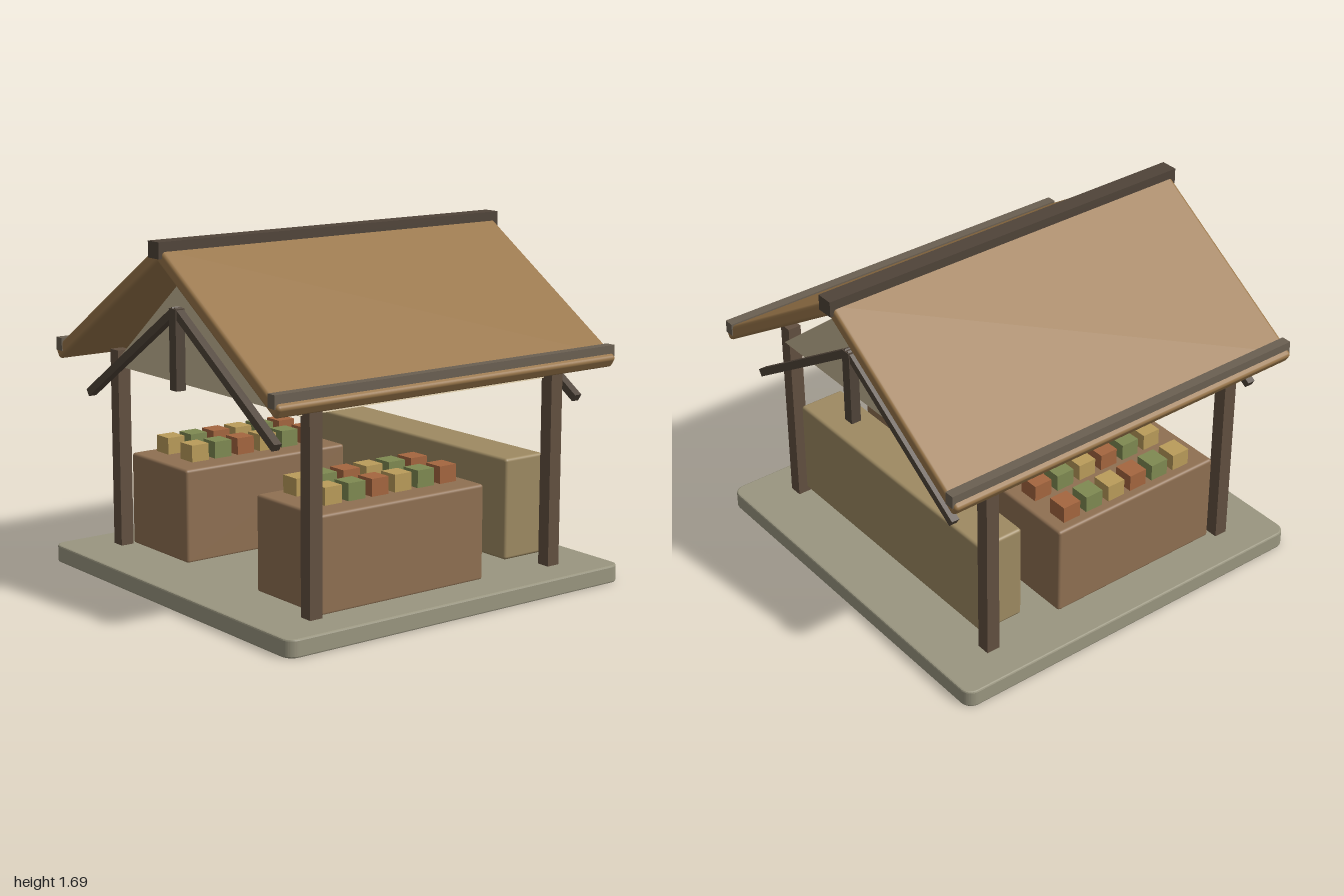
import * as THREE from 'three';
import { RoundedBoxGeometry } from 'three/addons/geometries/RoundedBoxGeometry.js';

const paint = (color) => new THREE.MeshStandardMaterial({ color });
const mats = {
  stone: paint(0x9a9680), post: paint(0x625040), beam: paint(0x504439), eave: paint(0x6b6052),
  roof: paint(0x99764a), canopy: paint(0xc4b494), counter: paint(0x8f7052), back: paint(0x9e8a62),
};
const crateMats = [paint(0xba9c5a), paint(0x7f8a52), paint(0xa5663f)];

export function createModel() {
  const model = new THREE.Group();

  const add = (name, geometry, material, x = 0, y = 0, z = 0, rz = 0) => {
    const mesh = new THREE.Mesh(geometry, material);
    mesh.name = name;
    mesh.position.set(x, y, z);
    mesh.rotation.z = rz;
    model.add(mesh);
    return mesh;
  };
  const box = (w, h, d) => new THREE.BoxGeometry(w, h, d);
  const rounded = (w, h, d, r) => new RoundedBoxGeometry(w, h, d, 3, r);

  // Floor slab: rounded square in plan with a fine bevel
  const half = 0.974, r = 0.05, bevel = 0.008;
  const plan = new THREE.Shape();
  plan.absarc(half - r, half - r, r, 0, Math.PI / 2);
  plan.absarc(-half + r, half - r, r, Math.PI / 2, Math.PI);
  plan.absarc(-half + r, -half + r, r, Math.PI, Math.PI * 1.5);
  plan.absarc(half - r, -half + r, r, Math.PI * 1.5, Math.PI * 2);
  plan.closePath();
  const slab = new THREE.ExtrudeGeometry(plan, {
    depth: 0.085 - 2 * bevel, bevelSize: bevel, bevelThickness: bevel, bevelSegments: 2, curveSegments: 6,
  });
  slab.rotateX(-Math.PI / 2);
  add('floorSlab', slab, mats.stone, 0, bevel, 0);

  // Corner posts
  for (const sx of [-1, 1]) for (const sz of [-1, 1]) {
    add('cornerPost', box(0.068, 1.05, 0.068), mats.post, sx * 0.773, 0.535, sz * 0.705);
  }

  // Side counters, each with two rows of goods crates
  for (const sx of [-1, 1]) {
    add('sideCounter', rounded(0.485, 0.46, 0.945, 0.015), mats.counter, sx * 0.5275, 0.308, 0.18);
    for (let row = 0; row < 2; row++) for (let i = 0; i < 6; i++) {
      const x = sx * 0.5275 - 0.143 + row * 0.21;
      add('goodsCrate', box(0.102, 0.085, 0.096), crateMats[i % 3], x, 0.578, 0.488 - i * 0.1335);
    }
  }

  // Raised back counter between the rear posts
  add('backCounter', rounded(1.44, 0.49, 0.235, 0.015), mats.back, 0, 0.375, -0.59);

  // Triangular loft prism under the roof
  const gable = new THREE.Shape();
  gable.moveTo(-0.755, 0.99);
  gable.lineTo(0.755, 0.99);
  gable.lineTo(0, 1.592);
  gable.closePath();
  const loft = new THREE.ExtrudeGeometry(gable, { depth: 1.51, bevelEnabled: false });
  add('gableLoft', loft, mats.canopy, 0, 0, -0.755);

  // Bar laid from the centre line down to an outer point, on either side
  const slope = (name, geo, material, side, top, x, y, z) => {
    const angle = Math.atan2(y - top, x);
    add(name, geo, material, side * x / 2, (top + y) / 2, z, side * angle);
  };

  for (const side of [-1, 1]) {
    // Roof panel and the rail along its eave
    slope('roofPanel', rounded(Math.hypot(0.902, 0.58), 0.065, 1.965, 0.018), mats.roof, side, 1.63, 0.902, 1.05, 0);
    add('eaveRail', box(0.05, 0.062, 1.975), mats.eave, side * 0.87, 1.102, 0);
    // Truss braces outside both gables
    for (const z of [-0.88, 0.88]) {
      slope('trussBrace', box(Math.hypot(0.76, 0.495), 0.038, 0.04), mats.beam, side, 1.365, 0.76, 0.87, z);
    }
  }
  for (const z of [-0.88, 0.88]) add('kingPost', box(0.054, 0.375, 0.05), mats.beam, 0, 1.187, z);

  // Ridge beam
  add('ridgeBeam', box(0.086, 0.076, 2), mats.beam, 0, 1.648, 0);

  return model;
}
